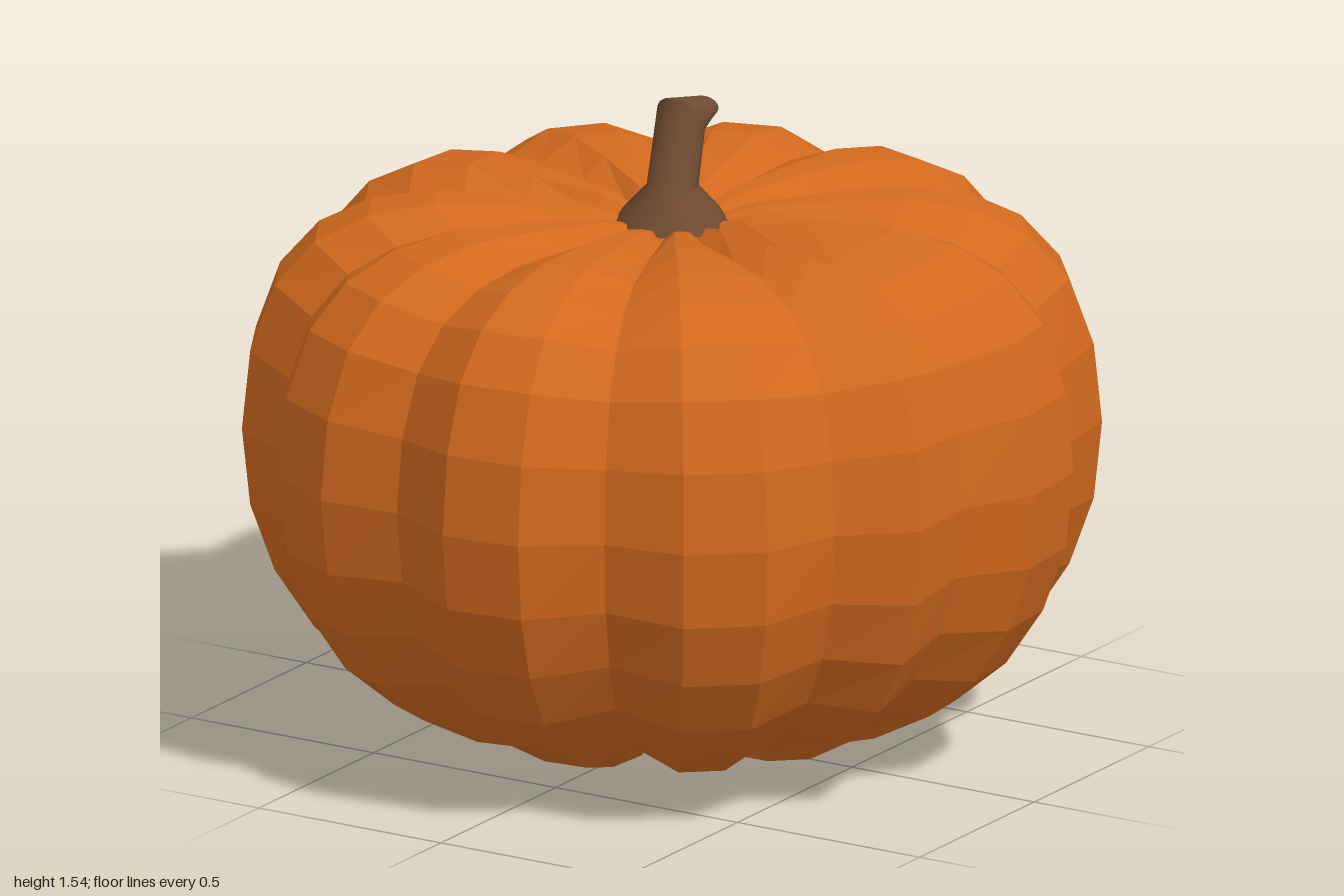
import * as THREE from 'three';
import { toCreasedNormals } from 'three/addons/utils/BufferGeometryUtils.js';

// Skin closed rings of points, listed from the top down
function loft(rings) {
  const n = rings[0].length, index = [];
  for (let j = 0; j < rings.length - 1; j++) {
    for (let k = 0; k < n; k++) {
      const a = j * n + k, b = j * n + (k + 1) % n;
      if (j > 0) index.push(a, b, b + n);
      if (j < rings.length - 2) index.push(a, b + n, a + n);
      else index.push(a, b + n, a + n);
    }
  }
  const geometry = new THREE.BufferGeometry();
  geometry.setAttribute('position', new THREE.Float32BufferAttribute(rings.flat(2), 3));
  geometry.setIndex(index);
  return geometry;
}

function createBody(material) {
  const sides = 32, steps = 16, midY = 0.75;
  // Grooves between the eleven ribs; one rib is narrower
  const grooves = [0, 3, 6, 9, 11, 14, 17, 20, 23, 26, 29];
  // Heights from the top dimple down to the base
  const heights = [1.23, 1.28, 1.293, 1.296, 1.268, 1.205, 1.1, 0.94, 0.75,
    0.565, 0.405, 0.265, 0.16, 0.08, 0.03, 0.003, 0.04];
  const rings = heights.map((y, j) => {
    const radius = Math.sin(j / steps * Math.PI);
    const pole = j === 0 || j === steps;
    return Array.from({ length: sides }, (_, k) => {
      const a = k / sides * Math.PI * 2;
      const s = !pole && grooves.includes(k) ? 0.93 : 1;
      return [Math.sin(a) * radius * s, midY + (y - midY) * s, -Math.cos(a) * radius * s - 0.008];
    });
  });
  // Separate faces give a faceted skin
  const geometry = loft(rings).toNonIndexed();
  geometry.computeVertexNormals();
  const mesh = new THREE.Mesh(geometry, material);
  mesh.name = 'ribbedBody';
  return mesh;
}

function createStem(material) {
  const sides = 16;
  // Tip to base: centre, half width, then the ring's forward direction in y and z
  const sections = [
    { c: [-0.006, 1.488, -0.164], w: 0, v: [0, 0] },
    { c: [-0.006, 1.488, -0.164], w: 0.036, v: [0.023, 0.002] },
    { c: [-0.011, 1.485, -0.066], w: 0.062, v: [0.054, 0.034] },
    { c: [0.008, 1.34, 0.002], w: 0.06, v: [0.004, 0.064] },
    { c: [0.006, 1.285, 0.002], w: 0.112, v: [0, 0.108] },
    { c: [0.006, 1.25, 0.002], w: 0.135, v: [0, 0.13] },
    { c: [0.006, 1.25, 0.002], w: 0, v: [0, 0] },
  ];
  const rings = sections.map(({ c, w, v }) => Array.from({ length: sides }, (_, k) => {
    const a = k / sides * Math.PI * 2, sin = Math.sin(a), cos = Math.cos(a);
    return [c[0] + w * sin, c[1] - v[0] * cos, c[2] - v[1] * cos];
  }));
  const mesh = new THREE.Mesh(toCreasedNormals(loft(rings), 0.6), material);
  mesh.name = 'bentStem';
  return mesh;
}

export function createModel() {
  const orange = new THREE.MeshStandardMaterial({ color: 0xd2691e });
  orange.name = 'pumpkinOrange';
  const brown = new THREE.MeshStandardMaterial({ color: 0x6f4a30 });
  brown.name = 'stemBrown';

  const model = new THREE.Group();
  model.name = 'pumpkin';
  model.add(createBody(orange), createStem(brown));
  return model;
}
